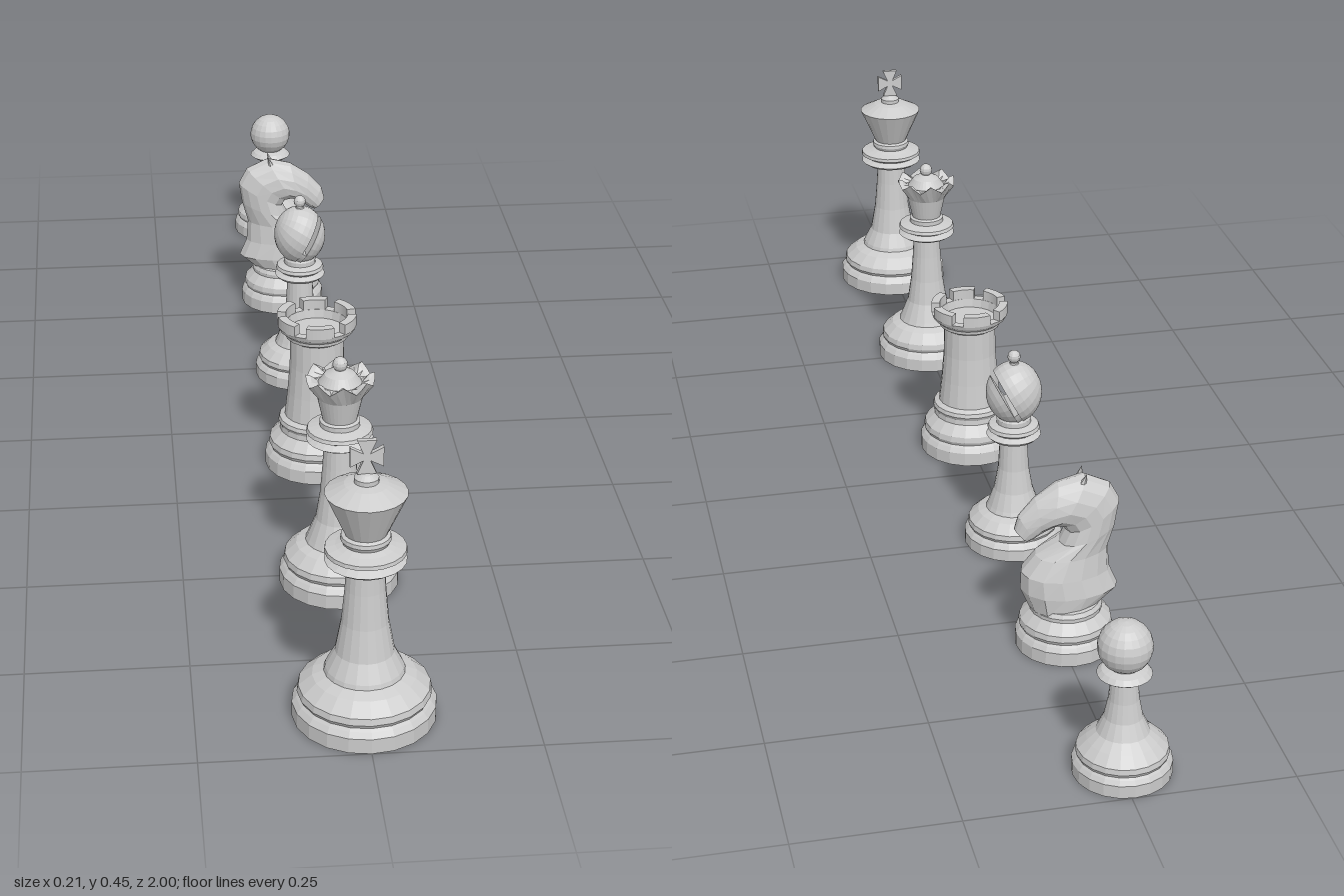
import * as THREE from 'three';

const SIDES = 20;
const material = new THREE.MeshStandardMaterial({ color: 0xcccccc, flatShading: true });

function part(name, geometry, parent) {
  const mesh = new THREE.Mesh(geometry, material);
  mesh.name = name;
  parent.add(mesh);
  return mesh;
}

// Profiles run from bottom to top as [radius, height]
const turn = (points, sides = SIDES) =>
  new THREE.LatheGeometry(points.map(([r, y]) => new THREE.Vector2(r, y)), sides);

// Arc of a ball's profile between two angles measured up from its equator
function ball(r, y, from = -90, to = 90, steps = 8) {
  return Array.from({ length: steps + 1 }, (_, i) => {
    const a = THREE.MathUtils.degToRad(from + ((to - from) * i) / steps);
    return [Math.max(0, r * Math.cos(a)), y + r * Math.sin(a)];
  });
}

// Grooved foot shared by the pieces: k scales the heights
const foot = (R, k = 1) => [
  [0, 0], [R, 0], [R, 0.024 * k], [R * 0.94, 0.032 * k], [R * 0.9, 0.036 * k],
  [R * 0.93, 0.042 * k], [R * 0.91, 0.052 * k], [R * 0.72, 0.069 * k],
];

function piece(name, z, x = 0) {
  const group = new THREE.Group();
  group.name = name;
  group.position.set(x, 0, z);
  return group;
}

function king() {
  const g = piece('king', 0.893);
  part('kingBody', turn([
    ...foot(0.107), [0.06, 0.076], [0.058, 0.083], [0.044, 0.11], [0.035, 0.16], [0.03, 0.215], [0.028, 0.255],
    [0.052, 0.256], [0.06, 0.262], [0.048, 0.269], [0.06, 0.276], [0.059, 0.282], [0.044, 0.286],
    [0.034, 0.29], [0.037, 0.296], [0.036, 0.302], [0.031, 0.305], [0.06, 0.37], [0.032, 0.384],
    [0.018, 0.387], [0.018, 0.394], [0.01, 0.4], [0, 0.402],
  ]), g);
  // Cross with four flaring arms
  const arm = [[0.005, 0.005], [0.024, 0.014], [0.024, -0.014]];
  const pts = [];
  for (let i = 3; i >= 0; i--) {
    const a = (i * Math.PI) / 2;
    for (const [x, y] of arm) {
      pts.push(new THREE.Vector2(x * Math.cos(a) - y * Math.sin(a), x * Math.sin(a) + y * Math.cos(a)));
    }
  }
  const cross = new THREE.ExtrudeGeometry(new THREE.Shape(pts), { depth: 0.008, bevelEnabled: false });
  cross.translate(0, 0, -0.004).scale(1, 1.1, 1);
  part('kingCross', cross, g).position.y = 0.427;
  return g;
}

function queen() {
  const g = piece('queen', 0.515);
  part('queenBody', turn([
    ...foot(0.096), [0.054, 0.075], [0.051, 0.082], [0.038, 0.115], [0.031, 0.16], [0.027, 0.21], [0.025, 0.25],
    [0.045, 0.251], [0.053, 0.256], [0.042, 0.263], [0.053, 0.269], [0.051, 0.275], [0.032, 0.28],
    [0.032, 0.288], [0.027, 0.291], [0, 0.292],
  ]), g);
  // Crown whose rim is lowered between eight points
  const crown = turn([
    [0.027, 0.29], [0.036, 0.33], [0.054, 0.368], [0.046, 0.366], [0.034, 0.354], [0.024, 0.368], [0.01, 0.375], [0, 0.376],
  ], 32);
  const p = crown.attributes.position;
  for (let i = 0; i < p.count; i++) {
    const x = p.getX(i), z = p.getZ(i);
    if (Math.hypot(x, z) > 0.04) p.setY(i, p.getY(i) - 0.007 * (1 - Math.cos(8 * Math.atan2(z, x))));
  }
  part('queenCrown', crown, g);
  part('queenFinial', turn(ball(0.012, 0.384), 12), g);
  return g;
}

function rook() {
  const g = piece('rook', 0.117);
  part('rookBody', turn([
    ...foot(0.09), [0.064, 0.078], [0.067, 0.084], [0.065, 0.091], [0.056, 0.096], [0.051, 0.14], [0.047, 0.19], [0.046, 0.24],
    [0.054, 0.245], [0.055, 0.251], [0.065, 0.259], [0.068, 0.267], [0.053, 0.267], [0.05, 0.252], [0, 0.252],
  ]), g);
  // Ring of battlements
  for (let i = 0; i < 6; i++) {
    const a = (i * Math.PI) / 3 + 0.16, b = a + 0.73;
    const shape = new THREE.Shape();
    shape.absarc(0, 0, 0.068, a, b, false);
    shape.absarc(0, 0, 0.053, b, a, true);
    const block = new THREE.ExtrudeGeometry(shape, { depth: 0.019, bevelEnabled: false, curveSegments: 4 });
    part('rookBattlement', block.rotateX(-Math.PI / 2), g).position.y = 0.266;
  }
  return g;
}

function bishop() {
  const g = piece('bishop', -0.235);
  part('bishopBody', turn([
    ...foot(0.083, 0.85), [0.046, 0.064], [0.043, 0.071], [0.033, 0.1], [0.026, 0.14], [0.023, 0.195],
    [0.04, 0.197], [0.046, 0.203], [0.036, 0.209], [0.044, 0.215], [0.042, 0.221], [0.029, 0.225],
    [0.029, 0.233], [0.026, 0.238], [0, 0.24],
  ]), g);
  // Egg-shaped head made of two caps either side of a slanted slot
  const scaled = new THREE.Group();
  scaled.name = 'bishopHead';
  scaled.position.y = 0.28;
  scaled.scale.set(0.047, 0.054, 0.047);
  g.add(scaled);
  const head = new THREE.Group();
  head.name = 'slottedHead';
  head.rotation.z = -2.12;
  scaled.add(head);
  const low = 0.24, high = 0.42, deg = (s) => THREE.MathUtils.radToDeg(Math.asin(s));
  part('headMain', turn([...ball(1, 0, -90, deg(low), 9), [0, low]]), head);
  part('headLip', turn([[0, high], ...ball(1, 0, deg(high), 90, 5)]), head);
  const bridge = new THREE.Shape();
  bridge.absarc(0, 0, 0.93, -1.2, 1.2, false);
  const slab = new THREE.ExtrudeGeometry(bridge, { depth: high - low, bevelEnabled: false, curveSegments: 10 });
  part('headBridge', slab.rotateX(-Math.PI / 2), head).position.y = low;
  part('bishopFinial', turn([[0.014, 0.326], [0.007, 0.334], ...ball(0.011, 0.345, -50, 90, 6)], 12), g);
  return g;
}

function knight() {
  const g = piece('knight', -0.568, -0.008);
  part('knightBase', turn([...foot(0.08, 0.95), [0.058, 0.072], [0.054, 0.079], [0, 0.08]]), g);
  // Cross-sections from chest to muzzle: back x, y, front x, y, half width
  const sections = [
    [-0.052, 0.072, 0.06, 0.072, 0.054], [-0.084, 0.098, 0.074, 0.105, 0.056], [-0.07, 0.13, 0.073, 0.135, 0.052],
    [-0.067, 0.17, 0.05, 0.163, 0.044], [-0.078, 0.21, 0.012, 0.183, 0.04], [-0.084, 0.25, 0.002, 0.204, 0.038],
    [-0.068, 0.28, 0.008, 0.214, 0.039], [-0.028, 0.299, 0.022, 0.216, 0.039], [0.016, 0.289, 0.034, 0.21, 0.034],
    [0.052, 0.265, 0.044, 0.203, 0.026], [0.078, 0.236, 0.053, 0.196, 0.021], [0.084, 0.213, 0.063, 0.192, 0.017],
  ];
  const n = 14, pos = [], idx = [];
  for (const [bx, by, fx, fy, w] of sections) {
    for (let j = 0; j < n; j++) {
      const a = (j / n) * Math.PI * 2, t = (1 + Math.cos(a)) / 2;
      pos.push(bx + (fx - bx) * t, by + (fy - by) * t, w * Math.sin(a) * (0.88 + 0.16 * Math.cos(a)));
    }
  }
  const last = (sections.length - 1) * n;
  for (let i = 0; i < last; i += n) {
    for (let j = 0; j < n; j++) {
      const k = (j + 1) % n;
      idx.push(i + j, i + n + j, i + k, i + k, i + n + j, i + n + k);
    }
  }
  for (let j = 1; j < n - 1; j++) idx.push(last, last + j + 1, last + j);
  const geometry = new THREE.BufferGeometry();
  geometry.setAttribute('position', new THREE.Float32BufferAttribute(pos, 3));
  geometry.setIndex(idx);
  geometry.computeVertexNormals();
  part('horseHead', geometry, g);
  // Pair of small ears
  for (const side of [-1, 1]) {
    const ear = part('ear', new THREE.ConeGeometry(0.011, 0.036, 6), g);
    ear.position.set(-0.022, 0.289, side * 0.013);
    ear.rotation.set(side * 0.15, 0, 0.3);
  }
  return g;
}

function pawn() {
  const g = piece('pawn', -0.925, -0.005);
  part('pawnBody', turn([
    ...foot(0.075, 0.85), [0.04, 0.071], [0.029, 0.095], [0.023, 0.125], [0.02, 0.16],
    [0.034, 0.163], [0.041, 0.168], [0.034, 0.175], [0.022, 0.179], ...ball(0.041, 0.213, -58, 90, 9),
  ]), g);
  return g;
}

export function createModel() {
  const model = new THREE.Group();
  model.name = 'chessPieces';
  model.add(king(), queen(), rook(), bishop(), knight(), pawn());
  return model;
}
